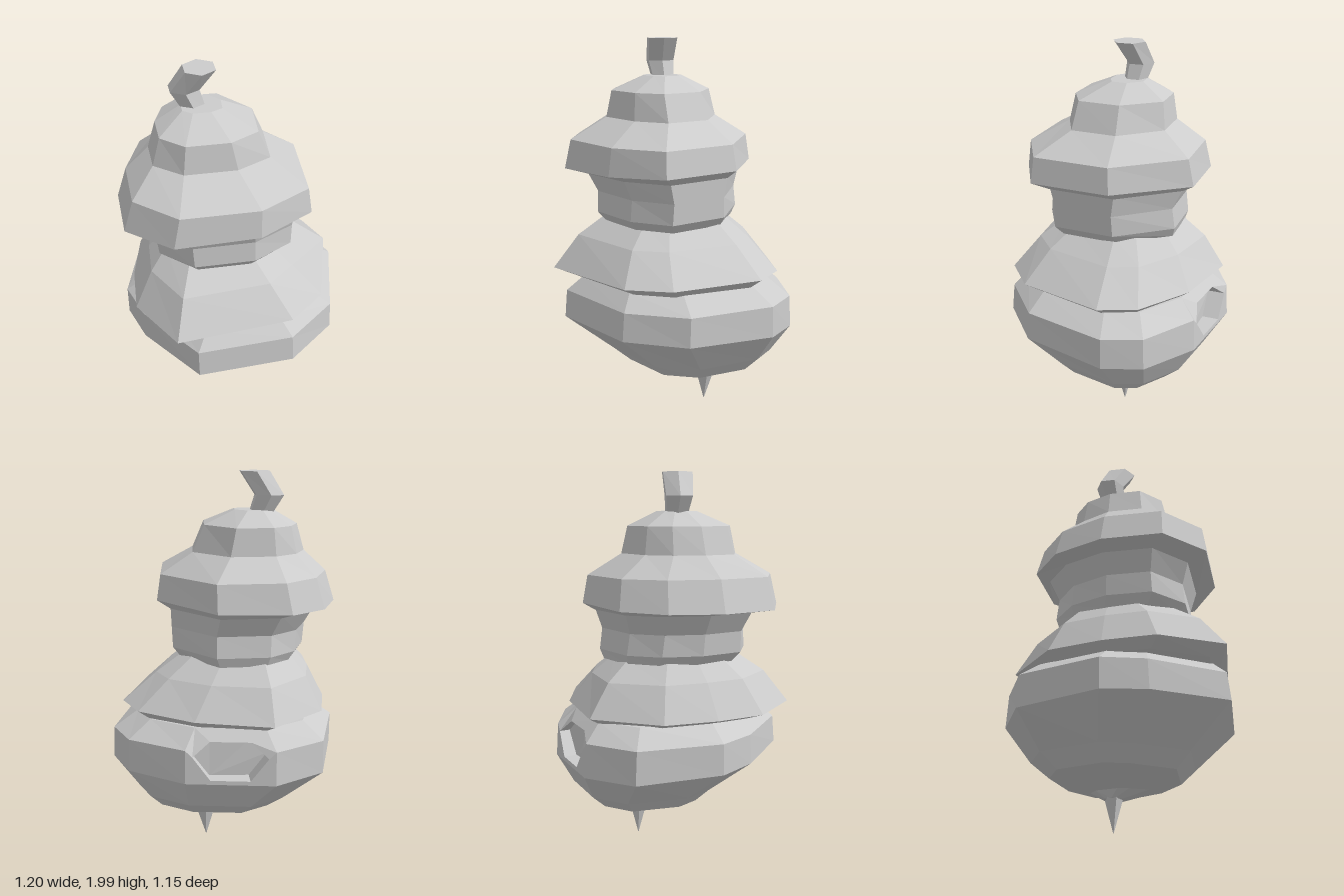
import * as THREE from 'three';

// Outlines seen from above, as [x, z] corners running from +x towards +z.
const LOWER_PLAN = [[-0.22, -0.57], [0.23, -0.51], [0.51, -0.33], [0.59, -0.13], [0.48, 0.32],
  [0.22, 0.54], [-0.28, 0.57], [-0.53, 0.22], [-0.6, 0], [-0.48, -0.43]];
const SKIRT_PLAN = [[-0.21, -0.54], [0.18, -0.46], [0.46, -0.28], [0.54, -0.09], [0.41, 0.37],
  [0.22, 0.53], [-0.38, 0.58], [-0.56, 0.27], [-0.55, 0], [-0.49, -0.28]];
const UPPER_PLAN = [[-0.31, -0.42], [0.06, -0.43], [0.35, -0.08], [0.33, 0.35], [0.05, 0.5],
  [-0.37, 0.5], [-0.59, 0.31], [-0.6, 0], [-0.5, -0.26]];
const HEXAGON = Array.from({ length: 6 }, (_, i) => {
  const a = (i / 6) * Math.PI * 2 + 0.5;
  return [Math.cos(a), Math.sin(a)];
});

// Fit a plan into a ring given as [y, xMin, xMax, zMin, zMax, slopeX, slopeZ].
function fitRing(plan, [y, x0, x1, z0, z1, slopeX = 0, slopeZ = 0]) {
  const xs = plan.map((p) => p[0]), zs = plan.map((p) => p[1]);
  const map = (v, all, lo, hi) => {
    const a = Math.min(...all), b = Math.max(...all);
    return lo + ((v - a) / (b - a)) * (hi - lo);
  };
  return plan.map(([px, pz]) => {
    const x = map(px, xs, x0, x1), z = map(pz, zs, z0, z1);
    return new THREE.Vector3(x, y + slopeX * x + slopeZ * z, z);
  });
}

const quad = (out, a, b, c, d) => out.push(a, b, c, a, c, d);

function fan(out, loop) {
  for (let i = 1; i < loop.length - 1; i++) out.push(loop[0], loop[i], loop[i + 1]);
}

// Skin a stack of rings from bottom to top and close both ends.
function skin(plan, rings, skip = () => false) {
  const loops = rings.map((r) => fitRing(plan, r));
  const out = [];
  for (let i = 0; i < loops.length - 1; i++) {
    plan.forEach((_, j) => {
      const k = (j + 1) % plan.length;
      if (!skip(i, j)) quad(out, loops[i][j], loops[i + 1][j], loops[i + 1][k], loops[i][k]);
    });
  }
  fan(out, loops[0]);
  fan(out, [...loops[loops.length - 1]].reverse());
  return { out, loops };
}

// Recessed six-sided opening in a panel of three rows, each a pair of corners.
function opening(rows) {
  const at = ([u, v]) => {
    const i = Math.min(Math.floor(v), 1);
    const low = rows[i][0].clone().lerp(rows[i][1], u);
    const high = rows[i + 1][0].clone().lerp(rows[i + 1][1], u);
    return low.lerp(high, v - i);
  };
  const outer = [[1, 0], [0, 0], [0, 1], [0, 2], [1, 2], [1, 1]].map(at);
  const rim = [[0.72, 0.12], [0.28, 0.12], [0.08, 0.8], [0.25, 1.4], [0.75, 1.4], [0.92, 0.8]].map(at);
  const deep = rim.map((p) => new THREE.Vector3(p.x, p.y, p.z * 0.3 - 0.3));
  const out = [];
  for (let k = 0; k < 6; k++) {
    const n = (k + 1) % 6;
    quad(out, outer[k], outer[n], rim[n], rim[k]);
    quad(out, rim[k], rim[n], deep[n], deep[k]);
  }
  fan(out, deep);
  return out;
}

export function createModel() {
  const group = new THREE.Group();
  const grey = new THREE.MeshStandardMaterial({ color: 0xcccccc, flatShading: true });
  grey.name = 'plain grey';

  function add(name, points) {
    const geometry = new THREE.BufferGeometry().setFromPoints(points);
    geometry.computeVertexNormals();
    const mesh = new THREE.Mesh(geometry, grey);
    mesh.name = name;
    group.add(mesh);
  }

  // Hanging point under the body
  add('bottomSpike', skin(HEXAGON, [
    [0.01, 0.098, 0.102, -0.082, -0.078],
    [0.19, 0.05, 0.16, -0.13, -0.03],
  ]).out);

  // Widest lower body, with one back panel left open
  const bulb = skin(LOWER_PLAN, [
    [0.18, 0.05, 0.16, -0.13, -0.03],
    [0.22, 0.02, 0.24, -0.2, 0.11],
    [0.265, -0.28, 0.39, -0.38, 0.28],
    [0.34, -0.37, 0.46, -0.47, 0.36],
    [0.515, -0.6, 0.595, -0.575, 0.58, 0, 0.035],
    [0.675, -0.6, 0.59, -0.565, 0.565, 0, 0.01],
    [0.76, -0.48, 0.46, -0.47, 0.49],
  ], (i, j) => (i === 4 || i === 5) && j === 0);
  add('lowerBody', bulb.out);
  add('entrance', opening(bulb.loops.slice(4, 7)));

  // Sloping skirt above the lower body
  add('skirt', skin(SKIRT_PLAN, [
    [0.75, -0.48, 0.46, -0.47, 0.49],
    [0.795, -0.565, 0.54, -0.54, 0.58, 0.025],
    [0.96, -0.47, 0.36, -0.43, 0.45],
    [1.06, -0.38, 0.22, -0.31, 0.31],
  ]).out);

  // Narrow neck
  add('neck', skin(UPPER_PLAN, [
    [1.04, -0.39, 0.23, -0.32, 0.33],
    [1.09, -0.43, 0.27, -0.335, 0.37],
    [1.2, -0.44, 0.275, -0.32, 0.36],
    [1.31, -0.505, 0.28, -0.37, 0.4],
  ]).out);

  // Overhanging upper body and its small crown
  add('upperBody', skin(UPPER_PLAN, [
    [1.3, -0.5, 0.28, -0.37, 0.4],
    [1.335, -0.6, 0.35, -0.43, 0.5, 0.03],
    [1.48, -0.55, 0.33, -0.4, 0.48],
    [1.59, -0.43, 0.16, -0.245, 0.285],
    [1.73, -0.39, 0.1, -0.225, 0.26],
    [1.805, -0.26, -0.06, -0.09, 0.09],
  ]).out);

  // Bent stem
  add('stem', skin(HEXAGON, [
    [1.78, -0.25, -0.135, -0.08, 0.04],
    [1.88, -0.31, -0.165, -0.11, 0.04],
    [2.0, -0.24, -0.09, -0.085, 0.09],
  ]).out);

  return group;
}
